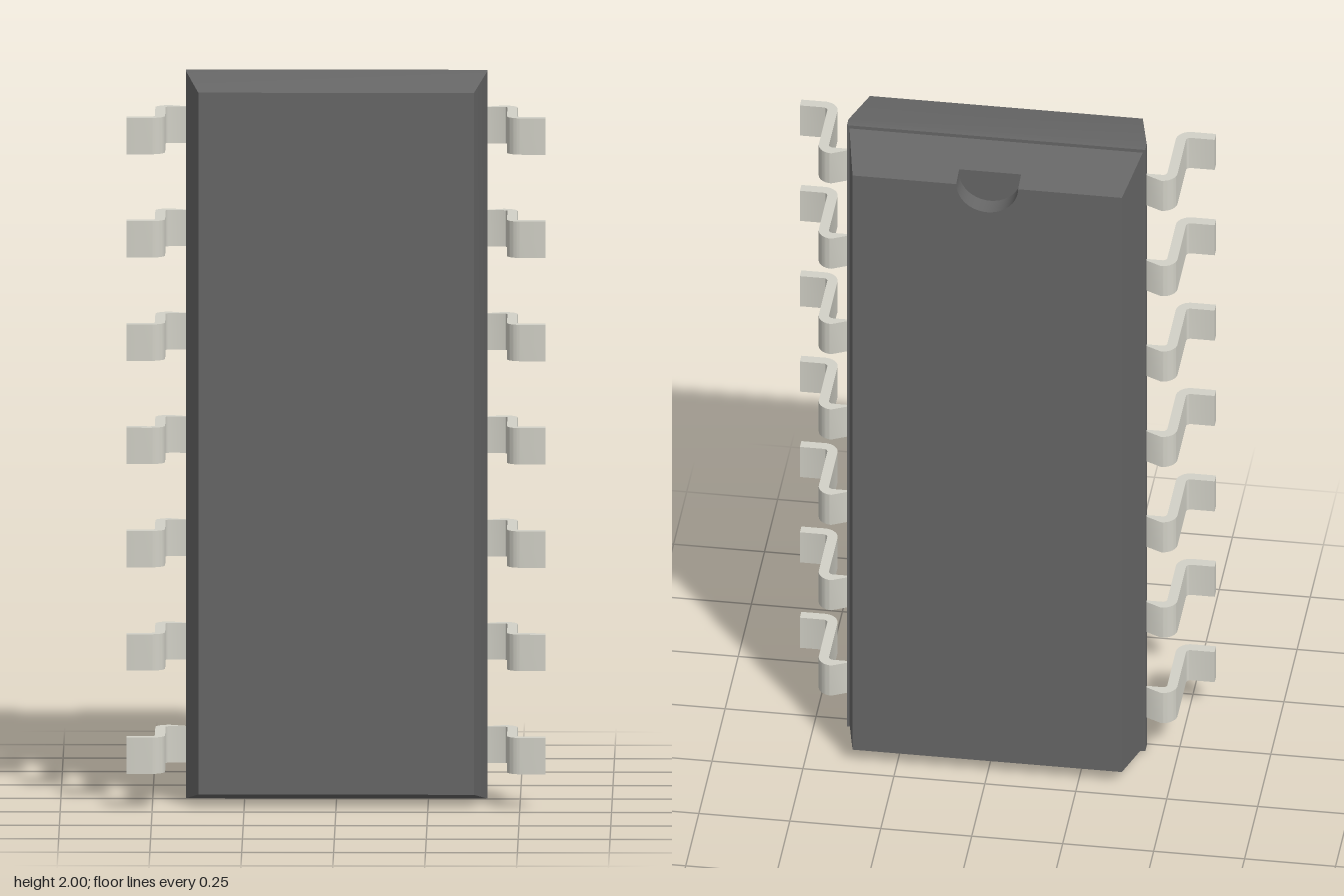
import * as THREE from 'three';
import { mergeGeometries, toCreasedNormals } from 'three/addons/utils/BufferGeometryUtils.js';

const BACK = -0.205, FLOOR = -0.15, NOTCH_R = 0.085, SLOPE = 0.2;
const MID = 1; // height of the body centre

// Rectangular cross-section, counter-clockwise seen from the front
const rect = (hw, hh) => [[-hw, -hh], [hw, -hh], [hw, hh], [-hw, hh]];

// Rectangle whose top edge is interrupted by the half-round notch;
// "grow" widens the outer edges only, so the notch wall stays straight
function notched(hw, hh, grow) {
  const [a, b, c, d] = rect(hw + grow, hh + grow);
  const arc = [];
  for (let i = 0; i <= 20; i++) {
    const t = -Math.PI * i / 20;
    const end = i === 0 || i === 20;
    arc.push([NOTCH_R * Math.cos(t), end ? hh + grow : hh + NOTCH_R * Math.sin(t)]);
  }
  return [a, b, c, ...arc, d];
}

// Side walls between two cross-sections, z0 behind z1
function wall(p, z0, q, z1) {
  const pos = [];
  p.forEach((a, i) => {
    const j = (i + 1) % p.length;
    const A = [...a, z0], B = [...p[j], z0], C = [...q[j], z1], D = [...q[i], z1];
    pos.push(...A, ...B, ...C, ...A, ...C, ...D);
  });
  return new THREE.BufferGeometry().setAttribute('position', new THREE.Float32BufferAttribute(pos, 3));
}

// Flat face filling an outline, turned to the front or the back
function cap(points, z, facesBack) {
  const shape = new THREE.Shape(points.map(([x, y]) => new THREE.Vector2(x, y)));
  const geo = new THREE.ShapeGeometry(shape).toNonIndexed();
  geo.deleteAttribute('uv');
  geo.deleteAttribute('normal');
  if (facesBack) {
    const p = geo.attributes.position.array;
    for (let i = 0; i < p.length; i += 9) {
      for (let k = 0; k < 3; k++) [p[i + 3 + k], p[i + 6 + k]] = [p[i + 6 + k], p[i + 3 + k]];
    }
  }
  return geo.translate(0, 0, z);
}

function bodyGeometry() {
  const hw = 0.37, hh = 0.955, grow = SLOPE * (FLOOR - BACK);
  const backFace = notched(hw, hh, 0);
  const atFloor = notched(hw, hh, grow);
  const parts = [cap(backFace, BACK, true), wall(backFace, BACK, atFloor, FLOOR)];
  // Notch floor
  parts.push(cap(atFloor.slice(3, -1), FLOOR, true));
  // Remaining rear taper, parting-line step, band and front taper
  const rings = [
    [rect(hw + grow, hh + grow), FLOOR],
    [rect(0.403, 0.99), -0.035],
    [rect(0.41, 1), -0.035],
    [rect(0.41, 1), -0.007],
    [rect(0.375, 0.965), 0.16],
  ];
  for (let i = 1; i < rings.length; i++) parts.push(wall(...rings[i - 1], ...rings[i]));
  parts.push(cap(rings[4][0], 0.16, false));
  return toCreasedNormals(mergeGeometries(parts), 0.35).translate(0, MID, 0);
}

// Gull-wing lead: bent strip profile in x/z, extruded along y
function leadGeometry() {
  const R = 0.04, r = 0.012, width = 0.1;
  const s = new THREE.Shape();
  s.moveTo(0.395, -0.035);
  s.absarc(0.453, 0.005, R, -Math.PI / 2, 0, false);
  s.absarc(0.505, 0.165, r, Math.PI, Math.PI / 2, true);
  s.lineTo(0.57, 0.177);
  s.lineTo(0.57, 0.205);
  s.absarc(0.505, 0.165, R, Math.PI / 2, Math.PI, false);
  s.absarc(0.453, 0.005, r, 0, -Math.PI / 2, true);
  s.lineTo(0.395, -0.007);
  s.closePath();
  const geo = new THREE.ExtrudeGeometry(s, { depth: width, bevelEnabled: false, curveSegments: 8 });
  geo.translate(0, 0, -width / 2).rotateX(Math.PI / 2);
  return toCreasedNormals(geo, 0.6);
}

export function createModel() {
  const model = new THREE.Group();
  model.name = 'chipPackage';
  const plastic = new THREE.MeshStandardMaterial({ color: 0x676767 });
  const metal = new THREE.MeshStandardMaterial({ color: 0xd2d1c7 });

  const body = new THREE.Mesh(bodyGeometry(), plastic);
  body.name = 'body';
  model.add(body);

  // Seven leads on each long side
  const leadGeo = leadGeometry();
  for (const side of ['left', 'right']) {
    const row = new THREE.Group();
    row.name = side + 'Leads';
    for (let i = 0; i < 7; i++) {
      const lead = new THREE.Mesh(leadGeo, metal);
      lead.name = side + 'Lead' + (i + 1);
      lead.position.y = MID + (i - 3) * 0.284;
      if (side === 'right') lead.rotation.z = Math.PI;
      row.add(lead);
    }
    model.add(row);
  }
  return model;
}
